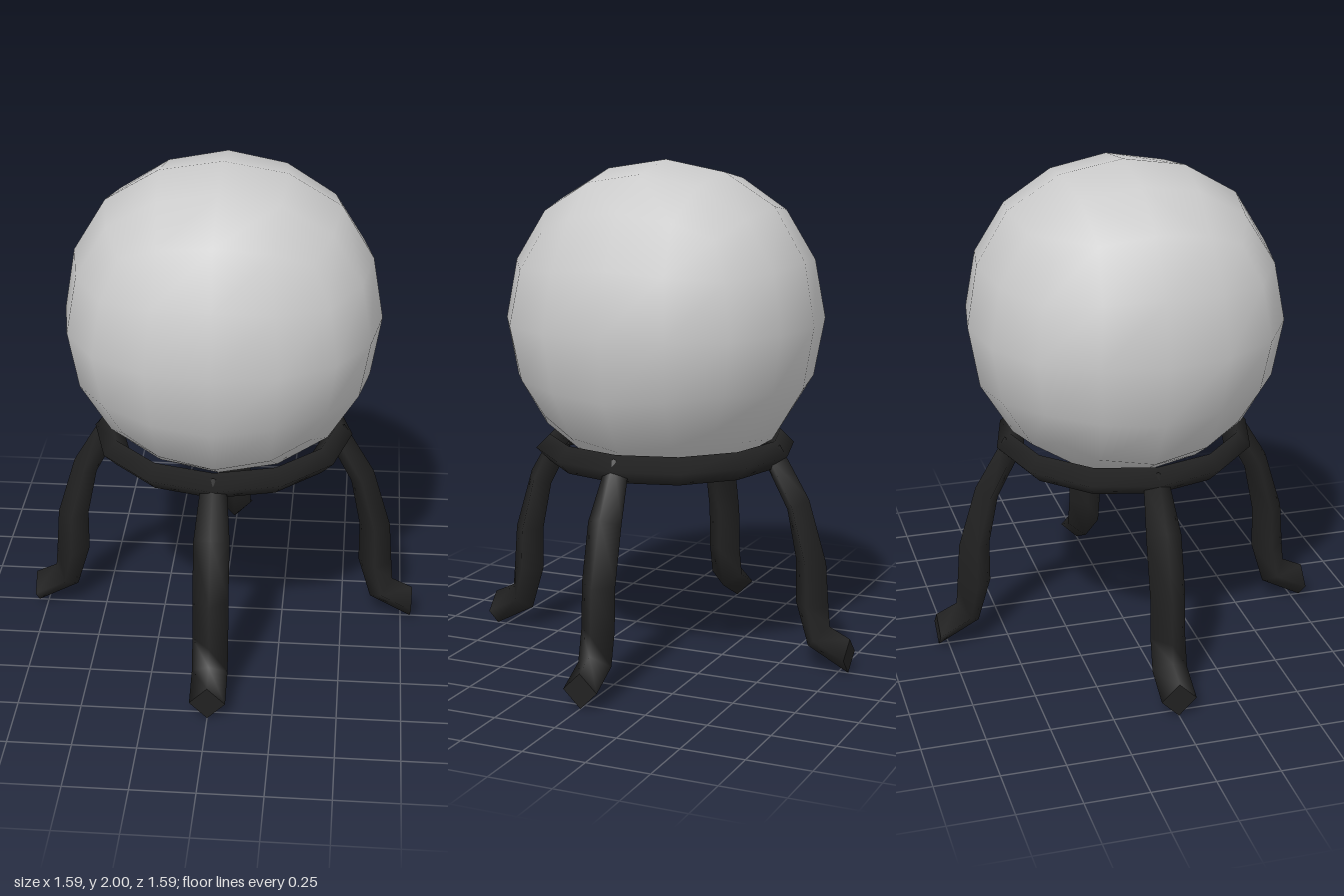
import * as THREE from 'three';
import { mergeGeometries, mergeVertices } from 'three/addons/utils/BufferGeometryUtils.js';

// Ball made of six 4x4 patches, a twice-smoothed cube.
// Key: larger and smaller grid step; value: [height, larger offset, smaller offset].
const PATCH = {
  '0,0': [0.625, 0, 0],
  '1,0': [0.583, 0.249, 0],
  '1,1': [0.5435, 0.232, 0.232],
  '2,0': [0.4575, 0.4575, 0],
  '2,1': [0.426, 0.426, 0.215],
  '2,2': [0.362, 0.362, 0.362],
};

function ballGeometry() {
  const patch = new THREE.PlaneGeometry(4, 4, 4, 4);
  const p = patch.attributes.position;
  for (let i = 0; i < p.count; i++) {
    const x = Math.round(p.getX(i)), y = Math.round(p.getY(i));
    const a = Math.abs(x), b = Math.abs(y);
    const [h, big, small] = PATCH[`${Math.max(a, b)},${Math.min(a, b)}`];
    p.setXYZ(i, Math.sign(x) * (a >= b ? big : small), Math.sign(y) * (b >= a ? big : small), h);
  }
  patch.deleteAttribute('uv');
  patch.deleteAttribute('normal');
  const sides = [];
  for (let k = 0; k < 4; k++) sides.push(patch.clone().rotateY(k * Math.PI / 2));
  for (const s of [-1, 1]) sides.push(patch.clone().rotateX(s * Math.PI / 2));
  const ball = mergeVertices(mergeGeometries(sides), 1e-3);
  ball.computeVertexNormals();
  return ball;
}

// Leg sections from top to foot: [outer x, outer y, inner x, inner y, half width]
const LEG = [
  [0.49, 0.9, 0.435, 0.81, 0.05],
  [0.615, 0.69, 0.525, 0.64, 0.07],
  [0.69, 0.44, 0.565, 0.44, 0.07],
  [0.703, 0.26, 0.566, 0.27, 0.07],
  [0.71, 0.18, 0.62, 0.09, 0.07],
  [0.795, 0.14, 0.79, 0, 0.07],
];

function legGeometry() {
  const pos = [], index = [];
  const section = ([ox, oy, ix, iy, w]) => {
    const mx = (ox + ix) / 2, my = (oy + iy) / 2;
    pos.push(ox, oy, 0, mx, my, w, ix, iy, 0, mx, my, -w);
  };
  LEG.forEach(section);
  for (let i = 0; i < LEG.length - 1; i++) {
    for (let k = 0; k < 4; k++) {
      const a = i * 4 + k, b = i * 4 + (k + 1) % 4;
      index.push(a, b, a + 4, b, b + 4, a + 4);
    }
  }
  // End caps with their own corners, for crisp edges
  const n = LEG.length * 4;
  section(LEG[0]);
  section(LEG[LEG.length - 1]);
  index.push(n, n + 2, n + 1, n, n + 3, n + 2);
  index.push(n + 4, n + 5, n + 6, n + 4, n + 6, n + 7);
  const g = new THREE.BufferGeometry();
  g.setAttribute('position', new THREE.Float32BufferAttribute(pos, 3));
  g.setIndex(index);
  g.computeVertexNormals();
  return g;
}

export function createModel() {
  const model = new THREE.Group();
  const pale = new THREE.MeshStandardMaterial({ color: 0xcccccc });
  const dark = new THREE.MeshStandardMaterial({ color: 0x222222 });
  const add = (name, geometry, material) => {
    const mesh = new THREE.Mesh(geometry, material);
    mesh.name = name;
    model.add(mesh);
    return mesh;
  };

  add('ball', ballGeometry(), pale).position.y = 1.375;

  // Ring with a four-sided section that cradles the ball
  const ring = new THREE.TorusGeometry(0.468, 0.055, 4, 12).rotateX(Math.PI / 2);
  add('supportRing', ring, dark).position.y = 0.855;

  const leg = legGeometry();
  ['leftLeg', 'backLeg', 'rightLeg', 'frontLeg'].forEach((name, k) => {
    add(name, leg, dark).rotation.y = k * Math.PI / 2;
  });
  return model;
}
